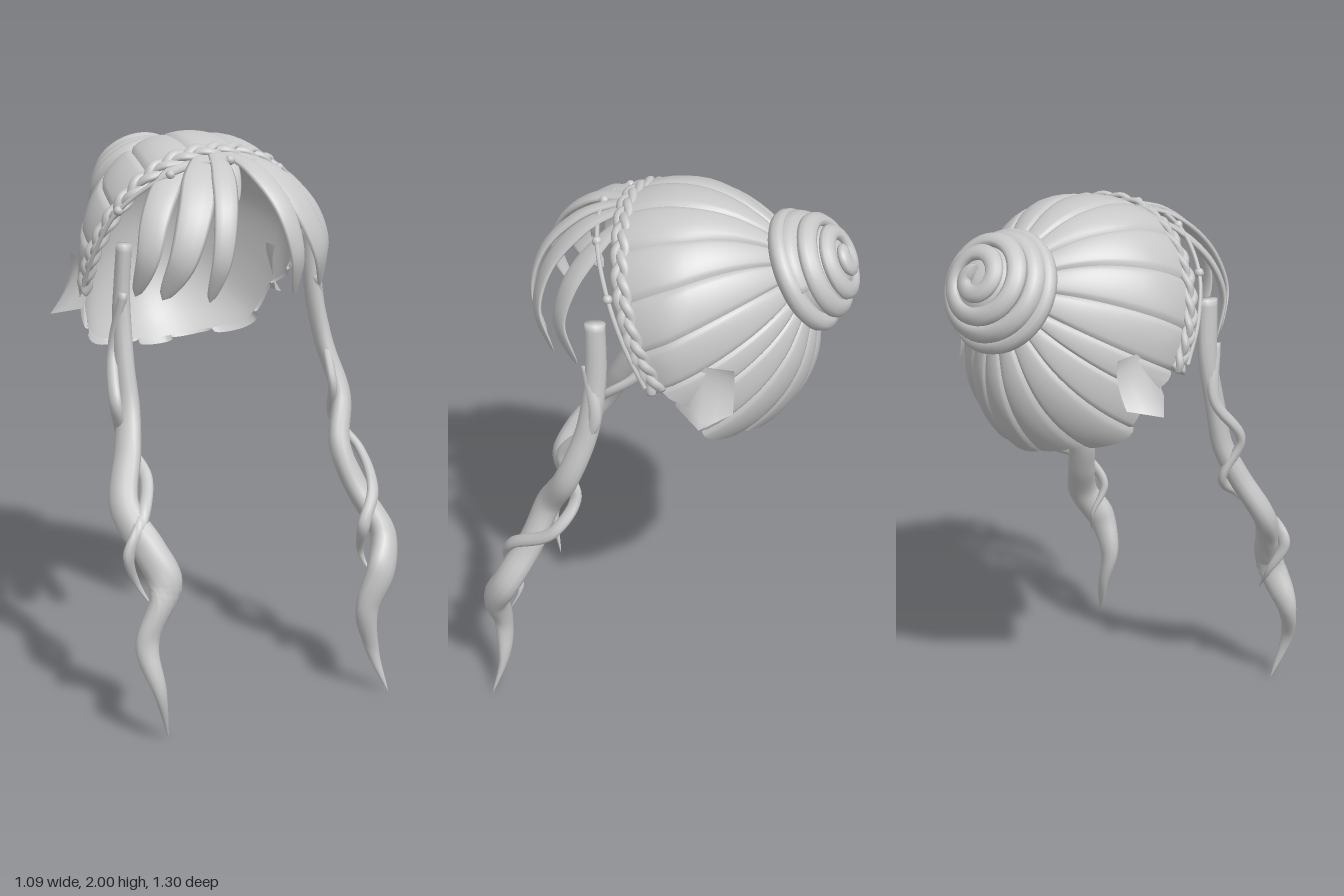
import * as THREE from 'three';

const V = (x, y, z) => new THREE.Vector3(x, y, z);
const hair = new THREE.MeshStandardMaterial({ color: 0xc8c8c8, side: THREE.DoubleSide });
hair.name = 'hair grey';

// Head ellipsoid that the hair lies on
const HEAD = V(0, 1.55, -0.08), RADII = V(0.425, 0.43, 0.435);
const BUN = V(0, 1.765, -0.47);

function mesh(name, geometry, parent) {
  const m = new THREE.Mesh(geometry, hair);
  m.name = name;
  parent.add(m);
  return m;
}

// Regular grid of points, optionally joined around in v
function grid(rows, cols, closed, point) {
  const pos = [], idx = [], n = closed ? cols : cols + 1;
  for (let i = 0; i <= rows; i++)
    for (let j = 0; j < n; j++) pos.push(...point(i / rows, j / cols, i).toArray());
  for (let i = 0; i < rows; i++)
    for (let j = 0; j < cols; j++) {
      const a = i * n + j, b = i * n + (j + 1) % n;
      idx.push(a, b, a + n, b, b + n, a + n);
    }
  const g = new THREE.BufferGeometry();
  g.setAttribute('position', new THREE.Float32BufferAttribute(pos, 3));
  g.setIndex(idx);
  g.computeVertexNormals();
  return g;
}

// Tapered lock with an oval section and flat ends, lying flat against the given centre
function lock(points, width, thick, profile, { centre = HEAD, twist = 0, rows = 40, sides = 10 } = {}) {
  const curve = new THREE.CatmullRomCurve3(points);
  return grid(rows, sides, true, (_, v, i) => {
    const t = THREE.MathUtils.clamp((i - 1) / (rows - 2), 0, 1);
    const p = curve.getPoint(t), T = curve.getTangent(t);
    const N = p.clone().sub(centre);
    N.addScaledVector(T, -N.dot(T)).normalize().applyAxisAngle(T, twist * t);
    const S = N.clone().cross(T);
    const k = i === 0 || i === rows ? 0 : profile(t), a = v * Math.PI * 2;
    return p.addScaledVector(S, Math.cos(a) * width * k).addScaledVector(N, Math.sin(a) * thick * k);
  });
}

const mirrorX = (pts) => pts.map((p) => V(-p.x, p.y, p.z));
const even = () => 1;
const tapered = (t) => Math.min(1, 0.55 + t * 1.4) * Math.sqrt(Math.max(0, 1 - t ** 3));

// Hairline loop: over the forehead, down the sides and around the nape
const half = [
  V(0.2, 1.925, 0.12), V(0.34, 1.79, 0.08), V(0.41, 1.62, 0.01), V(0.415, 1.47, -0.07),
  V(0.41, 1.395, -0.17), V(0.365, 1.26, -0.23), V(0.19, 1.2, -0.35)];
const hairline = new THREE.CatmullRomCurve3(
  [V(0, 1.965, 0.13), ...half, V(0, 1.18, -0.39), ...mirrorX(half).reverse()], true);

// Point on the cap: u around the hairline, t from hairline to bun; narrows towards the back
function capPoint(u, t, lift) {
  const a = hairline.getPoint(((u % 1) + 1) % 1).sub(HEAD).divide(RADII);
  const b = BUN.clone().sub(HEAD).divide(RADII);
  const la = a.length(), lb = b.length();
  a.normalize();
  b.normalize();
  const w = Math.acos(THREE.MathUtils.clamp(a.dot(b), -1, 1));
  const d = a.multiplyScalar(Math.sin((1 - t) * w)).addScaledVector(b, Math.sin(t * w)).divideScalar(Math.sin(w));
  const r = la + (lb - la) * Math.min(1, Math.max(t, 0) * 1.6) + lift;
  const p = d.multiplyScalar(r).multiply(RADII).add(HEAD);
  p.x *= 1 - 0.24 * THREE.MathUtils.clamp((-p.z - 0.1) / 0.35, 0, 1);
  return p;
}

function buildCap(root) {
  const cap = new THREE.Group();
  cap.name = 'hairCap';
  root.add(cap);
  mesh('innerCap', grid(16, 72, true, (t, v) => capPoint(v, t * 0.96, -0.035)), cap);
  const count = 18;
  for (let k = 0; k < count; k++) {
    const u0 = (k - 0.5) / count, nape = Math.abs(k - count / 2) < 4;
    const start = nape && k % 2 ? -0.025 : 0;
    mesh('capLock', grid(16, 12, false, (t, v) => {
      const bulge = 0.035 * Math.pow(Math.max(0, Math.sin(Math.PI * v)), 0.3) - 0.02;
      return capPoint(u0 + (v * 1.02 - 0.01) / count, start + t * (0.96 - start), bulge);
    }), cap);
  }
  // Flared lock ends behind the ears
  for (const s of [-1, 1]) {
    const out = s < 0 ? 0.495 : 0.46;
    mesh('sideFlap', grid(8, 4, false, (t, v) => {
      const e = Math.abs(v - 0.5) * 2;
      const x = THREE.MathUtils.lerp(0.375, out, t ** 1.5) - 0.08 * t * e;
      return V(s * x, 1.56 - 0.2 * t + 0.03 * t * e, -0.21 + (v - 0.5) * 0.2);
    }), cap);
  }
}

function buildBun(root) {
  const bun = new THREE.Group();
  bun.name = 'bun';
  bun.position.copy(BUN);
  bun.quaternion.setFromUnitVectors(V(0, 1, 0), V(0, 0.5, -0.86).normalize());
  root.add(bun);
  const dome = [];
  for (let i = 0; i <= 10; i++) {
    const a = (i / 10) * Math.PI / 2;
    dome.push(new THREE.Vector2(0.175 * Math.cos(a), -0.01 + 0.16 * Math.sin(a)));
  }
  mesh('bunCore', new THREE.LatheGeometry(dome.reverse(), 32), bun);
  const ring = mesh('bunBase', new THREE.TorusGeometry(0.185, 0.035, 10, 48), bun);
  ring.rotation.x = Math.PI / 2;
  // Coil winding up to the tip
  const coil = [];
  for (let i = 0; i <= 60; i++) {
    const s = i / 60, a = s * 1.48, q = s * Math.PI * 2 * 3.2;
    const r = 0.178 * Math.cos(a);
    coil.push(V(r * Math.cos(q), 0.02 + 0.14 * Math.sin(a), r * Math.sin(q)));
  }
  mesh('bunCoil', lock(coil, 0.038, 0.024, (t) => 1 - 0.25 * t, { centre: V(0, -0.05, 0), rows: 150 }), bun);
}

function buildBangs(root) {
  // Locks fan out from the parting at the centre of the forehead
  const shapes = [
    [[V(0.02, 1.955, 0.16), V(0.06, 1.91, 0.3), V(0.11, 1.79, 0.425), V(0.145, 1.63, 0.465), V(0.165, 1.48, 0.41)], 0.045],
    [[V(0.05, 1.95, 0.15), V(0.13, 1.9, 0.275), V(0.205, 1.78, 0.38), V(0.265, 1.63, 0.41), V(0.31, 1.49, 0.34)], 0.064],
    [[V(0.1, 1.94, 0.13), V(0.22, 1.87, 0.21), V(0.305, 1.76, 0.28), V(0.345, 1.63, 0.305), V(0.365, 1.49, 0.24)], 0.055]];
  for (const [pts, w] of shapes)
    for (const p of [pts, mirrorX(pts)]) mesh('bang', lock(p, w, 0.014, tapered, { rows: 28 }), root);
  mesh('centreBang', lock([V(0, 1.96, 0.14), V(0, 1.91, 0.24), V(0, 1.79, 0.29)], 0.04, 0.012, tapered, { rows: 16 }), root);
}

function buildHeadband(root) {
  const band = new THREE.Group();
  band.name = 'braidedBand';
  root.add(band);
  // Three-strand braid over the head
  const side = [V(0.2, 1.92, 0.125), V(0.345, 1.785, 0.085), V(0.42, 1.62, 0.02), V(0.43, 1.47, -0.055)];
  const path = new THREE.CatmullRomCurve3([...mirrorX(side).reverse(), V(0, 1.965, 0.15), ...side]);
  for (let k = 0; k < 3; k++) {
    const pts = [];
    for (let i = 0; i <= 120; i++) {
      const t = i / 120, q = t * Math.PI * 2 * 7 + (k * Math.PI * 2) / 3;
      const p = path.getPoint(t), N = p.clone().sub(HEAD).normalize();
      const S = N.clone().cross(path.getTangent(t)).normalize();
      pts.push(p.addScaledVector(S, 0.02 * Math.sin(q)).addScaledVector(N, 0.008 * Math.sin(2 * q)));
    }
    mesh('braidStrand', lock(pts, 0.018, 0.012, even, { rows: 180, sides: 8 }), band);
  }
  // Beaded cord in front of the braid
  const beads = [V(0, 1.937, 0.24), V(0.212, 1.895, 0.205), V(0.372, 1.77, 0.125)];
  const drop = [...beads.slice(1), V(0.43, 1.62, 0.05), V(0.445, 1.49, -0.02)];
  const cord = new THREE.CatmullRomCurve3([...mirrorX(drop).reverse(), beads[0], ...drop]);
  mesh('cord', new THREE.TubeGeometry(cord, 80, 0.008, 6), band);
  for (const p of [...beads, ...mirrorX(beads.slice(1))])
    mesh('bead', new THREE.SphereGeometry(0.017, 12, 8), band).position.copy(p);
}

function buildSideLocks(root) {
  const left = [
    V(0.36, 1.665, 0.175), V(0.375, 1.45, 0.175), V(0.41, 1.25, 0.2), V(0.445, 1.06, 0.27), V(0.39, 0.9, 0.36),
    V(0.435, 0.74, 0.42), V(0.495, 0.59, 0.5), V(0.45, 0.47, 0.56), V(0.4, 0.33, 0.555), V(0.43, 0.17, 0.55), V(0.477, 0.01, 0.59)];
  const leftThin = [
    V(0.37, 1.5, 0.2), V(0.42, 1.3, 0.17), V(0.39, 1.12, 0.3), V(0.43, 0.98, 0.24), V(0.505, 0.86, 0.31),
    V(0.46, 0.75, 0.48), V(0.4, 0.64, 0.52), V(0.42, 0.52, 0.47), V(0.46, 0.42, 0.51)];
  const right = [
    V(-0.375, 1.665, 0.175), V(-0.385, 1.45, 0.17), V(-0.395, 1.25, 0.21), V(-0.4, 1.1, 0.25), V(-0.43, 0.97, 0.31),
    V(-0.485, 0.8, 0.4), V(-0.44, 0.67, 0.5), V(-0.405, 0.55, 0.555), V(-0.485, 0.36, 0.575), V(-0.46, 0.2, 0.625), V(-0.413, 0.01, 0.59)];
  const rightThin = [
    V(-0.39, 1.5, 0.2), V(-0.42, 1.3, 0.17), V(-0.46, 1.13, 0.28), V(-0.41, 0.98, 0.24), V(-0.385, 0.88, 0.36),
    V(-0.46, 0.76, 0.48), V(-0.515, 0.66, 0.5), V(-0.47, 0.54, 0.47), V(-0.41, 0.44, 0.49)];
  const full = (t) => (0.68 + 0.5 * Math.min(1, t * 1.5)) * Math.min(1, Math.pow((1 - t) * 3.2, 0.8));
  const thin = (t) => Math.min(1, (1 - t) * 4);
  for (const [name, main, wisp, dir] of [['left', left, leftThin, 1], ['right', right, rightThin, -1]]) {
    const centre = V(0, 1, 0.3);
    mesh(name + 'SideLock', lock(main, 0.052, 0.04, full, { centre, twist: dir * 1.5, rows: 90, sides: 12 }), root);
    mesh(name + 'Wisp', lock(wisp, 0.024, 0.017, thin, { centre, twist: dir * 2, rows: 80 }), root);
  }
}

export function createModel() {
  const root = new THREE.Group();
  root.name = 'hairstyle';
  for (const build of [buildCap, buildBun, buildBangs, buildHeadband, buildSideLocks]) build(root);
  return root;
}
